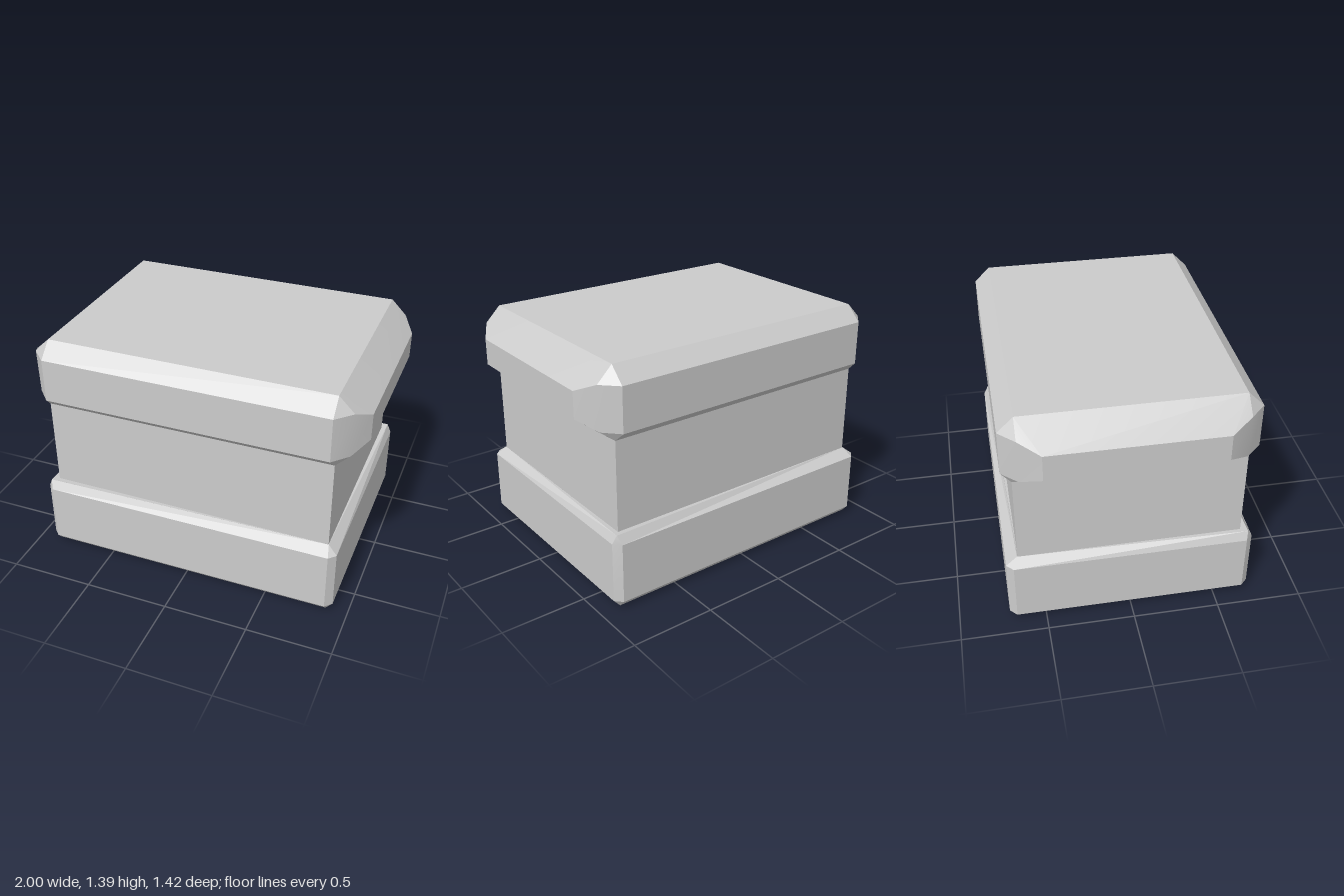
import * as THREE from 'three';
import { toCreasedNormals } from 'three/addons/utils/BufferGeometryUtils.js';

// A ring is given by its (+x, +z) corner points, running from the z side to the x side.
// The other corners are mirrored; `alt` optionally replaces the two odd corners.
function ring(corner, alt = corner) {
  const signs = [[1, 1], [1, -1], [-1, -1], [-1, 1]];
  return signs.flatMap(([sx, sz], q) => {
    const pts = (q % 2 ? alt : corner).map(([x, y, z]) => new THREE.Vector3(x * sx, y, z * sz));
    return q % 2 ? pts.reverse() : pts;
  });
}

// Rectangular ring: the corner point repeated so it joins rings with cut corners
const rect = (x, y, z, n) => Array(n).fill([x, y, z]);

// Skin a stack of rings (bottom to top) and close both ends
function loft(name, rings, crease) {
  const out = [];
  const tri = (a, b, c) => {
    const area = b.clone().sub(a).cross(c.clone().sub(a)).length();
    if (area > 1e-7) out.push(...a.toArray(), ...b.toArray(), ...c.toArray());
  };
  const n = rings[0].length;
  for (let k = 0; k < rings.length - 1; k++) {
    const lo = rings[k], hi = rings[k + 1];
    for (let i = 0; i < n; i++) {
      const j = (i + 1) % n;
      tri(lo[i], lo[j], hi[j]);
      tri(lo[i], hi[j], hi[i]);
    }
  }
  const bottom = rings[0], top = rings[rings.length - 1];
  for (let i = 1; i < n - 1; i++) {
    tri(bottom[0], bottom[i + 1], bottom[i]);
    tri(top[0], top[i], top[i + 1]);
  }
  const geo = new THREE.BufferGeometry();
  geo.setAttribute('position', new THREE.Float32BufferAttribute(out, 3));
  const mesh = new THREE.Mesh(
    toCreasedNormals(geo, crease),
    new THREE.MeshStandardMaterial({ color: 0xcccccc })
  );
  mesh.name = name;
  return mesh;
}

export function createModel() {
  const group = new THREE.Group();
  group.name = 'pedestal';

  // Base block with bevelled edges; two opposite corners of its lip flare out
  const baseCorner = y => [[0.87, y, 0.71], [0.91, y, 0.67]];
  group.add(loft('base', [
    ring(rect(0.87, 0, 0.67, 2)),
    ring(baseCorner(0.045)),
    ring(baseCorner(0.405)),
    ring(rect(0.855, 0.45, 0.645, 2), rect(0.885, 0.455, 0.68, 2)),
    ring(rect(0.853, 0.448, 0.642, 2)),
  ], 0.3));

  // Plain middle block
  const body = new THREE.Mesh(
    new THREE.BoxGeometry(1.706, 0.56, 1.284),
    new THREE.MeshStandardMaterial({ color: 0xcccccc })
  );
  body.position.y = 0.71;
  body.name = 'body';
  group.add(body);

  // Overhanging slab with rounded-off corners and side faces that bulge outwards
  group.add(loft('topSlab', [
    ring(rect(0.853, 0.985, 0.642, 3)),
    ring([[0.84, 1.04, 0.7], [0.925, 1.04, 0.61], [1, 1.09, 0.49]]),
    ring([[0.84, 1.3, 0.7], [0.93, 1.3, 0.61], [1, 1.245, 0.49]]),
    ring(rect(0.84, 1.39, 0.61, 3)),
  ], 0.45));

  return group;
}
